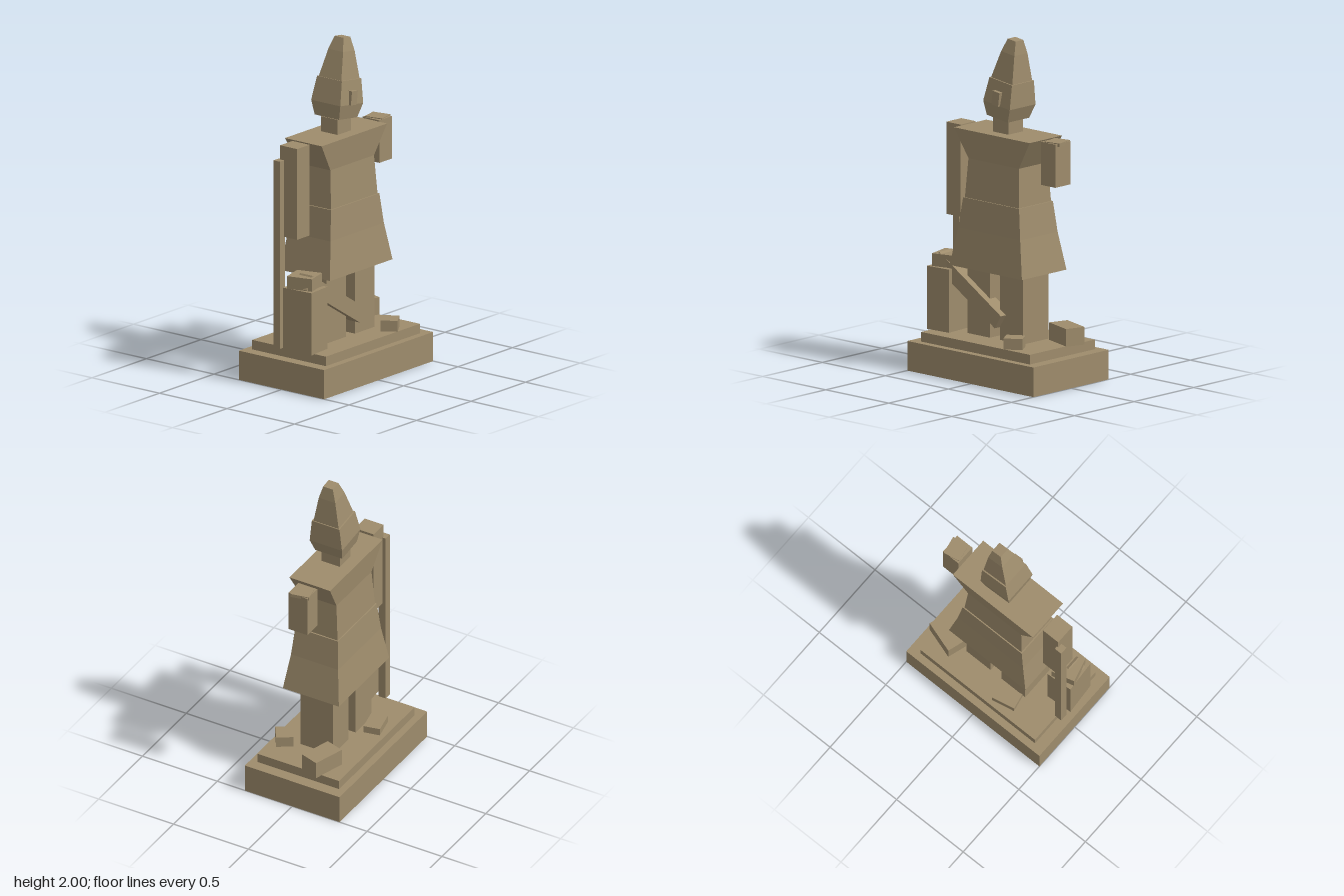
import * as THREE from 'three';

const stone = new THREE.MeshStandardMaterial({ color: 0x9e8c6c, flatShading: true });
stone.name = 'weathered stone';

// Stack of rectangular sections [y, halfX, halfZ], bottom to top, capped at both ends
function rectLoft(sections) {
  const corner = (s, k) => {
    const [y, hx, hz] = s;
    return [[-hx, y, hz], [hx, y, hz], [hx, y, -hz], [-hx, y, -hz]][k % 4];
  };
  const pos = [];
  const quad = (a, b, c, d) => pos.push(...a, ...b, ...c, ...a, ...c, ...d);
  for (let i = 0; i < sections.length - 1; i++) {
    const lo = sections[i], hi = sections[i + 1];
    for (let k = 0; k < 4; k++) quad(corner(lo, k), corner(lo, k + 1), corner(hi, k + 1), corner(hi, k));
  }
  const bottom = sections[0], top = sections[sections.length - 1];
  quad(corner(top, 0), corner(top, 1), corner(top, 2), corner(top, 3));
  quad(corner(bottom, 3), corner(bottom, 2), corner(bottom, 1), corner(bottom, 0));
  const geo = new THREE.BufferGeometry();
  geo.setAttribute('position', new THREE.Float32BufferAttribute(pos, 3));
  geo.computeVertexNormals();
  return geo;
}

export function createModel() {
  const statue = new THREE.Group();
  statue.name = 'brokenStatue';

  const add = (name, geo, parent = statue) => {
    const mesh = new THREE.Mesh(geo, stone);
    mesh.name = name;
    parent.add(mesh);
    return mesh;
  };
  // Box standing on y0 and reaching y1, turned about the vertical by yaw
  const block = (name, x, z, w, d, y0, y1, yaw = 0, parent = statue) => {
    const mesh = add(name, new THREE.BoxGeometry(w, y1 - y0, d), parent);
    mesh.position.set(x, (y0 + y1) / 2, z);
    mesh.rotation.y = yaw;
    return mesh;
  };

  // Plinth
  block('plinthBase', 0, 0, 1, 0.632, 0, 0.175);
  block('plinthStep', 0, 0, 0.862, 0.545, 0.175, 0.232);

  // Legs
  for (const side of [-1, 1]) {
    block(side > 0 ? 'leftLeg' : 'rightLeg', side * 0.13, 0, 0.18, 0.216, 0.23, 0.66);
  }

  // Robe and chest
  add('skirt', rectLoft([[0.637, 0.287, 0.187], [0.86, 0.245, 0.157], [1.04, 0.222, 0.142]]));
  add('torso', rectLoft([[1.0, 0.216, 0.138], [1.27, 0.2, 0.12], [1.44, 0.3, 0.136]]));
  block('neck', 0, 0, 0.122, 0.122, 1.43, 1.53);

  // Tilted head with tall cap
  const head = new THREE.Group();
  head.name = 'head';
  head.position.set(0, 1.53, 0);
  head.rotation.z = -0.128;
  statue.add(head);
  add('face', rectLoft([[0, 0.084, 0.09], [0.085, 0.106, 0.108], [0.228, 0.09, 0.092]]), head);
  add('tallCap', rectLoft([[0.22, 0.086, 0.085], [0.39, 0.053, 0.055], [0.468, 0.032, 0.032]]), head);
  block('nose', 0, 0.105, 0.054, 0.036, 0.085, 0.168, 0, head);

  // Arms, the left one broken short
  block('rightArm', -0.375, -0.002, 0.114, 0.126, 0.895, 1.44);
  block('leftArmStump', 0.378, 0, 0.114, 0.126, 1.185, 1.44);
  block('leftShoulderChip', 0.386, -0.004, 0.102, 0.113, 1.425, 1.445, 0.19);

  // Staff
  block('staff', -0.446, -0.06, 0.048, 0.048, 0.23, 1.355);

  // Support block with a fallen beam leaning out of it
  block('supportBlock', -0.388, 0.085, 0.163, 0.2, 0.23, 0.605, 0.07);
  block('supportCap', -0.388, 0.08, 0.144, 0.157, 0.605, 0.68, 0.26);
  const beam = add('fallenBeam', new THREE.BoxGeometry(0.577, 0.092, 0.09));
  beam.position.set(-0.184, 0.498, 0.105);
  beam.rotation.z = -0.557;

  // Rubble
  block('rubbleLarge', 0.357, -0.115, 0.2, 0.12, 0.23, 0.335, -0.305);
  block('rubbleFront', 0.243, 0.203, 0.112, 0.1, 0.23, 0.297, 0.58);
  block('rubbleBack', -0.145, -0.18, 0.143, 0.1, 0.23, 0.275, 0.2);

  return statue;
}
